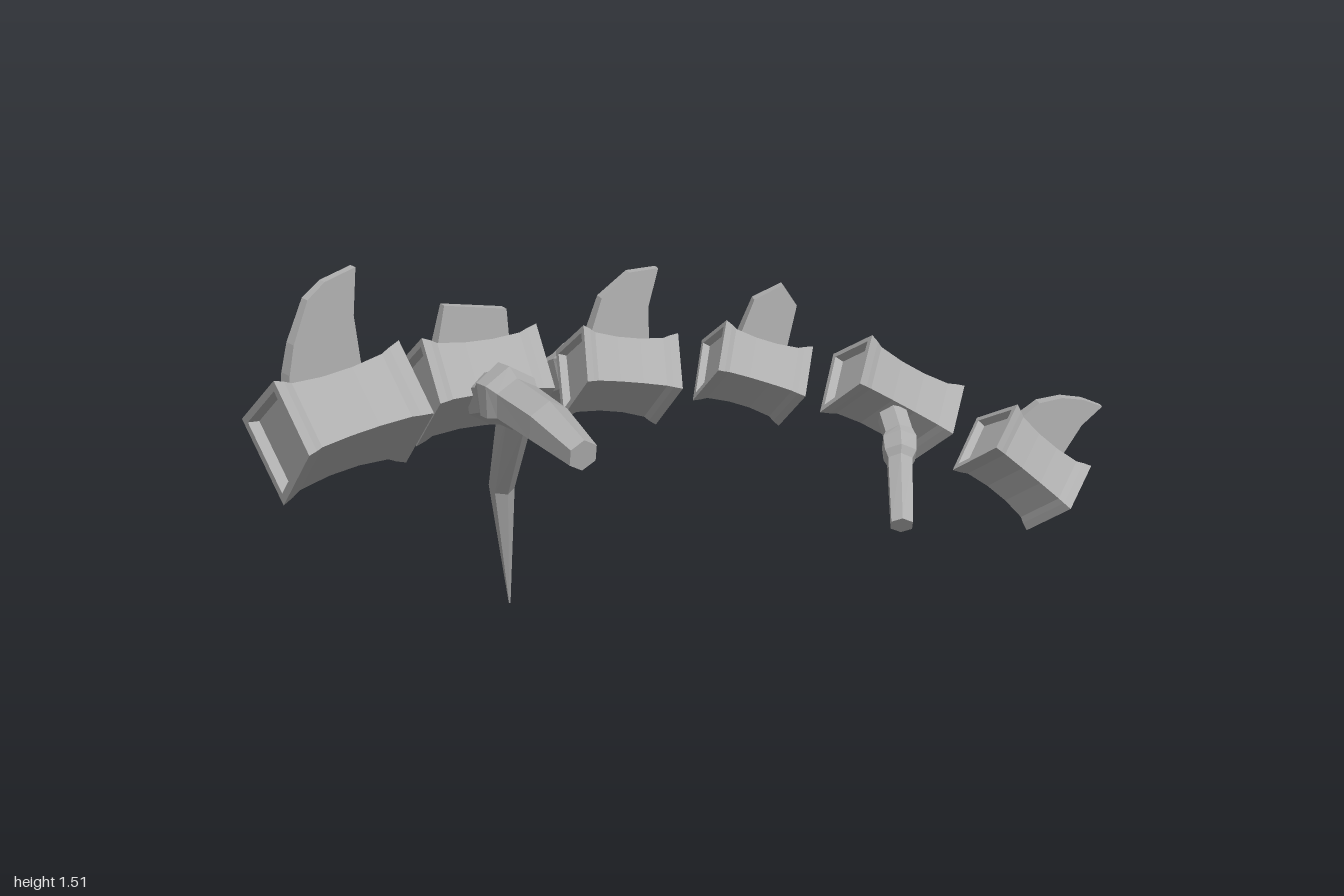
import * as THREE from 'three';

const V = (a) => new THREE.Vector3(...a);
const UP = new THREE.Vector3(0, 1, 0);

// Faceted skin over a list of rings, each with the same number of corners
function loft(rings) {
  const pos = [];
  const n = rings[0].length;
  const add = (...pts) => pts.forEach((p) => pos.push(p.x, p.y, p.z));
  for (let r = 0; r < rings.length - 1; r++) {
    const a = rings[r], b = rings[r + 1];
    for (let i = 0; i < n; i++) {
      const j = (i + 1) % n;
      add(a[i], a[j], b[j]);
      add(a[i], b[j], b[i]);
    }
  }
  const g = new THREE.BufferGeometry();
  g.setAttribute('position', new THREE.Float32BufferAttribute(pos, 3));
  g.computeVertexNormals();
  return g;
}

// Waisted diamond block with flared rims and sunken ends: [along, scale]
const BODY = [
  [-0.43, 0], [-0.43, 0.74], [-0.5, 0.82], [-0.5, 1], [-0.42, 0.93], [-0.36, 0.86], [-0.12, 0.8],
  [0.12, 0.8], [0.36, 0.86], [0.42, 0.93], [0.5, 1], [0.5, 0.82], [0.43, 0.74], [0.43, 0],
];

function bodyGeometry(length, w, h) {
  const section = [[0.03, 0.95 * h], [w, 0], [0, -1.06 * h], [-w, 0.01]];
  // local x = along the spine, y = up, z = side
  return loft(BODY.map(([t, s]) => section.map(([u, v]) => new THREE.Vector3(t * length, v * s, u * s))));
}

// Upright fin, thinner toward its tip
function finGeometry(points) {
  const shape = new THREE.Shape(points.map((p) => new THREE.Vector2(...p)));
  const g = new THREE.ExtrudeGeometry(shape, { depth: 1, bevelEnabled: false });
  const top = Math.max(...points.map((p) => p[1]));
  const p = g.attributes.position;
  for (let i = 0; i < p.count; i++) {
    const thick = 0.055 - 0.03 * (p.getY(i) / top);
    p.setZ(i, (p.getZ(i) - 0.5) * thick);
  }
  g.computeVertexNormals();
  return g;
}

// Six-sided rib along a path of [x, y, z, half depth, half width]
function ribGeometry(path, sideDir) {
  const centres = path.map((p) => V(p.slice(0, 3)));
  const rings = path.map(([, , , rv, ru], k) => {
    const t = centres[Math.min(k + 1, path.length - 1)].clone().sub(centres[Math.max(k - 1, 0)]).normalize();
    const s = V(sideDir).addScaledVector(t, -V(sideDir).dot(t)).normalize();
    const up = s.clone().cross(t);
    return Array.from({ length: 6 }, (_, i) => {
      const a = (i * Math.PI) / 3;
      return centres[k].clone().addScaledVector(up, rv * Math.cos(a)).addScaledVector(s, ru * Math.sin(a));
    });
  });
  const cap = (c) => Array.from({ length: 6 }, () => c.clone());
  return loft([cap(centres[0]), ...rings, cap(centres[centres.length - 1])]);
}

const VERTEBRAE = [
  { at: [-0.76, 1.09, 0.6], dir: [0.48, 0.08, -0.87], size: [0.4, 0.17, 0.185],
    fin: [[-0.16, 0.08], [-0.145, 0.17], [-0.12, 0.25], [-0.06, 0.36], [0, 0.395], [0.1, 0.41], [0.075, 0.28], [0.08, 0.08]] },
  { at: [-0.505, 1.13, 0.28], dir: [0.61, -0.04, -0.79], size: [0.35, 0.15, 0.16],
    fin: [[-0.13, 0.08], [-0.1, 0.23], [0.09, 0.2], [0.1, 0.08]] },
  { at: [-0.19, 1.11, 0], dir: [0.69, -0.2, -0.69], size: [0.29, 0.13, 0.14],
    fin: [[-0.12, 0.07], [-0.1, 0.21], [-0.03, 0.29], [0.055, 0.31], [0.045, 0.2], [0.07, 0.07]] },
  { at: [0.11, 1.07, -0.27], dir: [0.78, -0.35, -0.52], size: [0.27, 0.125, 0.13],
    fin: [[-0.08, 0.06], [-0.075, 0.2], [-0.01, 0.265], [0.05, 0.22], [0.07, 0.06]] },
  { at: [0.455, 0.965, -0.5], dir: [0.66, -0.53, -0.53], size: [0.34, 0.125, 0.135] },
  { at: [0.8, 0.735, -0.69], dir: [0.63, -0.66, -0.4], size: [0.31, 0.12, 0.135],
    fin: [[-0.12, 0.07], [-0.1, 0.17], [-0.055, 0.225], [0, 0.26], [0.06, 0.28], [0.05, 0.2], [0.07, 0.07]] },
];

const RIBS = [
  { name: 'shortRib', side: [-0.6, 0, 0.8], path: [
    [-0.45, 1.1, 0.33, 0.07, 0.06], [-0.39, 1.13, 0.38, 0.07, 0.065], [-0.36, 1.145, 0.4, 0.09, 0.085],
    [-0.32, 1.15, 0.43, 0.09, 0.085], [-0.29, 1.15, 0.455, 0.07, 0.07], [-0.15, 1.14, 0.555, 0.068, 0.065],
    [0, 1.11, 0.665, 0.045, 0.045]] },
  { name: 'longRib', side: [0.6, 0, -0.8], path: [
    [-0.17, 1.1, -0.04, 0.07, 0.07], [-0.38, 1.04, -0.19, 0.075, 0.07], [-0.41, 1.02, -0.215, 0.09, 0.085],
    [-0.46, 0.99, -0.255, 0.09, 0.085], [-0.5, 0.965, -0.29, 0.075, 0.065], [-0.745, 0.785, -0.49, 0.075, 0.055],
    [-0.89, 0.43, -0.665, 0.045, 0.04], [-0.905, 0, -0.735, 0.003, 0.003]] },
  { name: 'stubRib', side: [0.9, 0, -0.4], path: [
    [0.48, 0.93, -0.43, 0.05, 0.045], [0.515, 0.89, -0.385, 0.05, 0.045], [0.525, 0.875, -0.365, 0.06, 0.055],
    [0.54, 0.85, -0.33, 0.058, 0.052], [0.545, 0.835, -0.315, 0.045, 0.04], [0.61, 0.71, -0.15, 0.035, 0.035]] },
];

export function createModel() {
  const model = new THREE.Group();
  model.name = 'spineBones';
  const bone = new THREE.MeshStandardMaterial({ color: 0xb0b0b0 });
  bone.name = 'bone grey';

  const mesh = (geometry, name, parent) => {
    const m = new THREE.Mesh(geometry, bone);
    m.name = name;
    parent.add(m);
  };

  // Vertebrae, each turned so its local x follows the spine
  VERTEBRAE.forEach(({ at, dir, size, fin }, i) => {
    const group = new THREE.Group();
    group.name = `vertebra${i + 1}`;
    const t = V(dir).normalize();
    const s = t.clone().cross(UP).normalize();
    const up = s.clone().cross(t);
    group.quaternion.setFromRotationMatrix(new THREE.Matrix4().makeBasis(t, up, s));
    group.position.set(...at);
    mesh(bodyGeometry(...size), 'vertebraBody', group);
    if (fin) mesh(finGeometry(fin), 'vertebraFin', group);
    model.add(group);
  });

  // Ribs
  RIBS.forEach(({ name, path, side }) => mesh(ribGeometry(path, side), name, model));
  return model;
}
